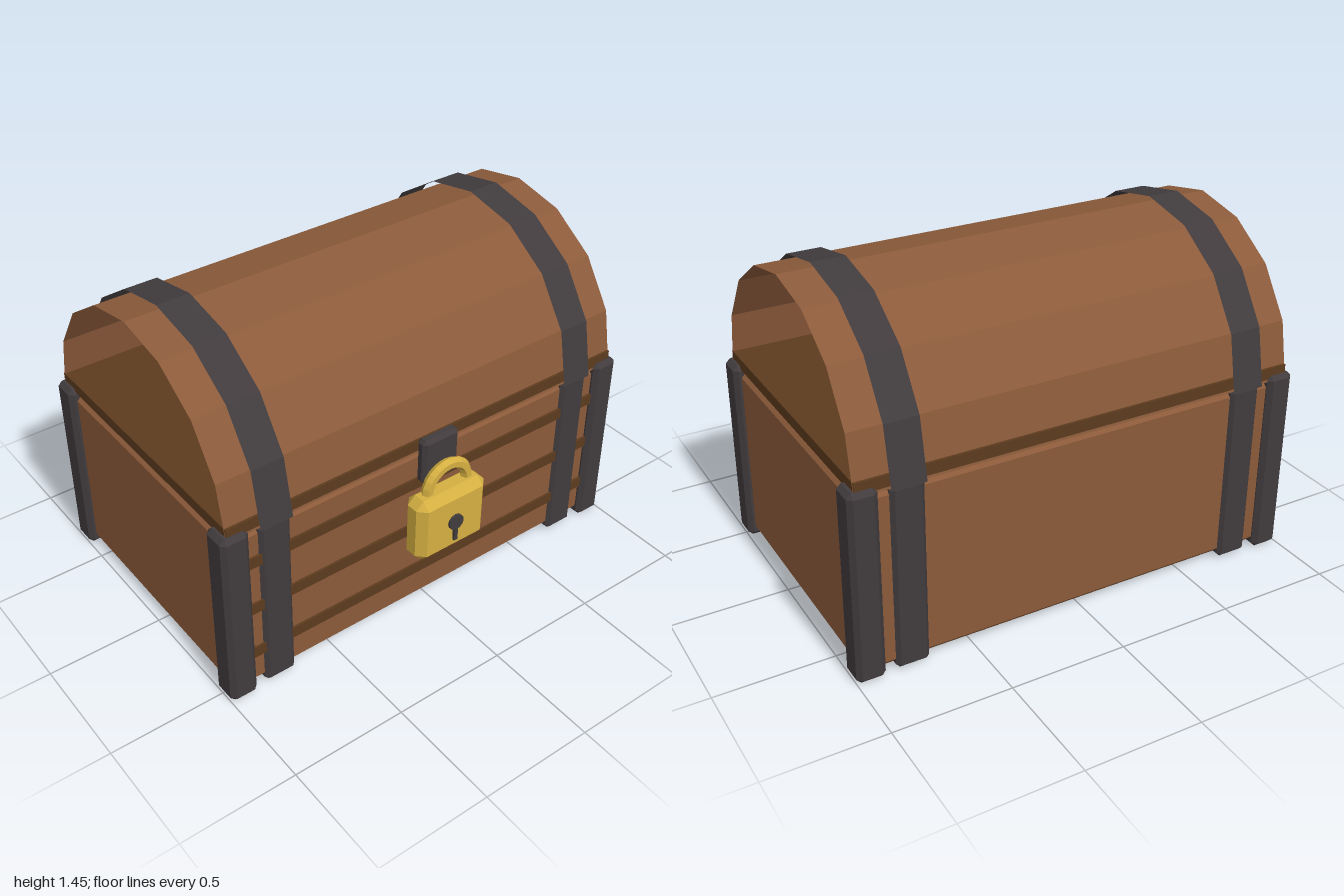
import * as THREE from 'three';
import { ConvexGeometry } from 'three/addons/geometries/ConvexGeometry.js';

const mat = (name, color, side = THREE.FrontSide) =>
  new THREE.MeshStandardMaterial({ name, color, side, flatShading: true });

// Box with chamfered edges, centred on its origin
function bevelBox(w, h, d, b) {
  const [x, y, z] = [w / 2, h / 2, d / 2];
  const points = [];
  for (const i of [-1, 1]) for (const j of [-1, 1]) for (const k of [-1, 1]) {
    points.push(
      new THREE.Vector3(i * x, j * (y - b), k * (z - b)),
      new THREE.Vector3(i * (x - b), j * y, k * (z - b)),
      new THREE.Vector3(i * (x - b), j * (y - b), k * z));
  }
  return new ConvexGeometry(points);
}

// Open half barrel with its axis along x
function halfBarrel(radius, length) {
  return new THREE.CylinderGeometry(radius, radius, length, 8, 1, true, 0, Math.PI).rotateZ(Math.PI / 2);
}

export function createModel() {
  const wood = mat('wood', 0x8b5a3a, THREE.DoubleSide);
  const darkWood = mat('darkWood', 0x5c3b1e);
  const iron = mat('iron', 0x413b3d, THREE.DoubleSide);
  const gold = mat('gold', 0xd4af41);

  const chest = new THREE.Group();
  chest.name = 'treasureChest';
  const add = (name, geometry, material, x, y, z, parent = chest) => {
    const mesh = new THREE.Mesh(geometry, material);
    mesh.name = name;
    mesh.position.set(x, y, z);
    parent.add(mesh);
    return mesh;
  };
  const midZ = -0.07;

  // Wooden body, rim board and arched lid
  add('body', bevelBox(1.94, 0.8, 1.24, 0.036), wood, 0, 0.42, midZ);
  add('rim', new THREE.BoxGeometry(1.936, 0.05, 1.247), darkWood, 0, 0.845, midZ);
  add('lid', halfBarrel(0.625, 1.94), wood, 0, 0.81, midZ);

  // Front slats
  for (const y of [0.2, 0.43, 0.66])
    add('frontSlat', new THREE.BoxGeometry(1.8, 0.05, 0.04), darkWood, 0, y, 0.54);

  // Iron straps, lid bands and corner posts
  for (const s of [-1, 1]) {
    add('strap', bevelBox(0.14, 0.805, 1.272, 0.016), iron, s * 0.762, 0.416, midZ);
    add('lidBand', halfBarrel(0.645, 0.143), iron, s * 0.762, 0.81, midZ);
    for (const z of [0.515, -0.652])
      add('cornerPost', bevelBox(0.122, 0.83, 0.124, 0.02), iron, s * 0.939, 0.42, z);
  }

  // Hasp and padlock
  add('hasp', bevelBox(0.18, 0.21, 0.054, 0.016), iron, 0, 0.78, 0.577);
  const padlock = new THREE.Group();
  padlock.name = 'padlock';
  padlock.position.set(0, 0.515, 0.64);
  chest.add(padlock);
  add('lockBody', bevelBox(0.35, 0.3, 0.122, 0.035), gold, 0, 0, 0, padlock);
  add('shackle', new THREE.TorusGeometry(0.1, 0.025, 6, 12, Math.PI), gold, 0, 0.155, 0, padlock);
  add('keyhole', new THREE.CylinderGeometry(0.036, 0.036, 0.014, 12).rotateX(Math.PI / 2), iron, 0, 0.003, 0.066, padlock);
  add('keySlot', new THREE.BoxGeometry(0.018, 0.09, 0.012), iron, 0, -0.043, 0.066, padlock);

  // Coin heap: a low mound and scattered coins [x, y, z, tilt x, tilt z]
  const mound = add('coinMound', new THREE.SphereGeometry(1, 12, 6, 0, Math.PI * 2, 0, Math.PI / 2), gold, 0, 0.865, -0.1);
  mound.scale.set(0.42, 0.065, 0.26);
  const coinGeometry = new THREE.CylinderGeometry(0.085, 0.085, 0.028, 12);
  const coins = [
    [0.69, 0.925, -0.25, 0.45, 0.1], [-0.59, 0.935, 0.22, 0.1, 0.3],
    [-0.65, 0.91, 0.05, -0.1, 0.3], [0.1, 0.94, 0.3, -0.22, 0.05],
    [0.2, 0.945, 0.14, 0.05, -0.5], [-0.2, 0.9, 0.27, -0.3, 0.15],
    [0.35, 0.895, 0.2, 0.35, 0.1], [-0.35, 0.9, 0.08, 0.2, -0.2],
    [0.05, 0.93, 0.05, -0.15, 0.2], [-0.1, 0.885, -0.34, 0.4, 0],
    [0.4, 0.89, 0.02, -0.2, -0.2], [-0.42, 0.89, -0.15, 0.1, 0.2],
    [0.3, 0.89, -0.18, 0.1, -0.15],
  ];
  for (const [x, y, z, tiltX, tiltZ] of coins)
    add('coin', coinGeometry, gold, x, y, z).rotation.set(tiltX, 0, tiltZ);

  return chest;
}
